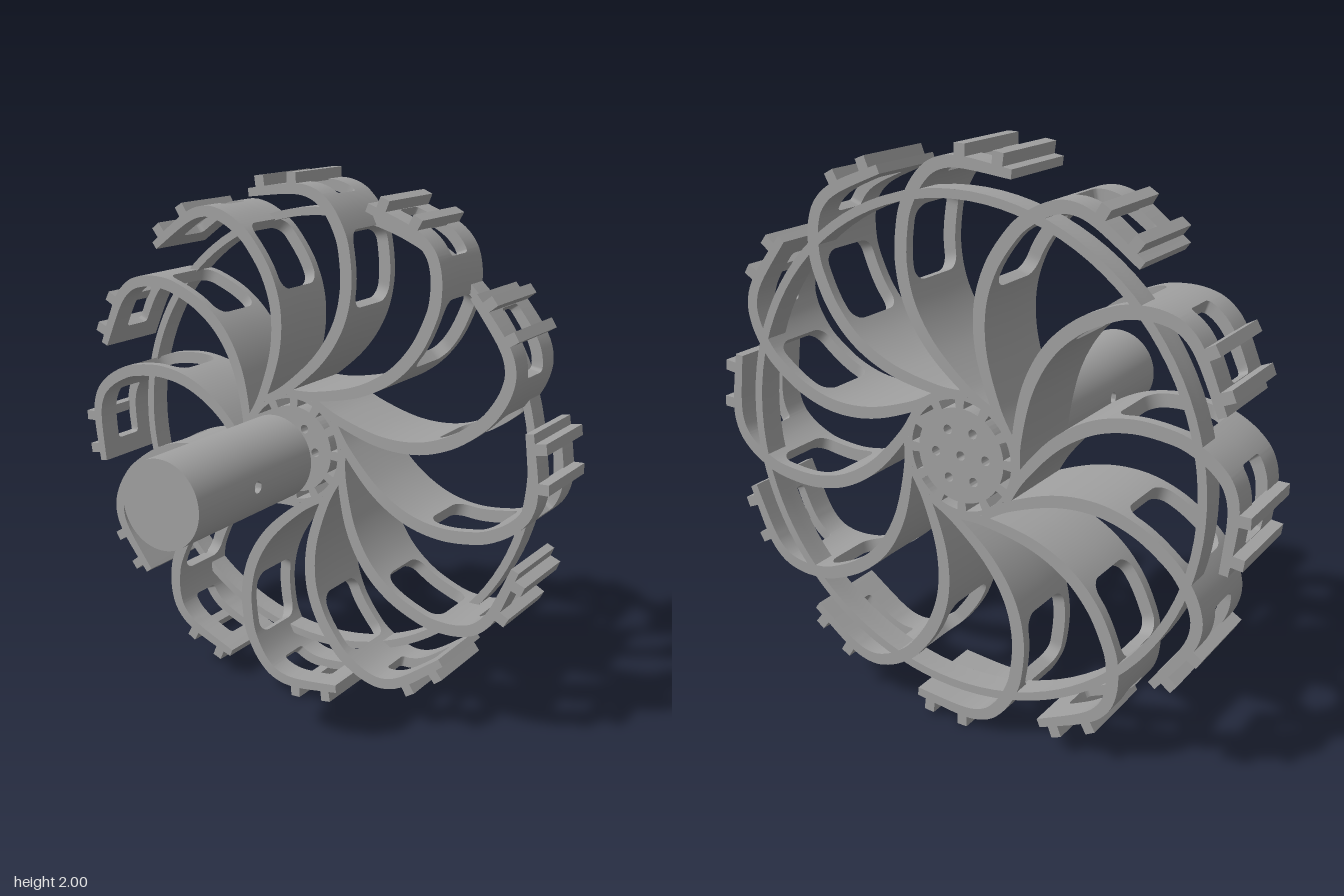
import * as THREE from 'three';
import { toCreasedNormals } from 'three/addons/utils/BufferGeometryUtils.js';

const grey = new THREE.MeshStandardMaterial({ color: 0xa0a0a0 });
grey.name = 'plain grey';

function add(parent, name, geometry) {
  const mesh = new THREE.Mesh(geometry, grey);
  mesh.name = name;
  parent.add(mesh);
  return mesh;
}

// Bends a flat strip along a curve in xy. Windows {a, b, w, r} are cut between
// positions a and b, with half-width w and corner radius r.
function strip(curve, half, thick, windows = [], steps = 64) {
  const length = curve.getLength();
  const stations = [];
  for (let i = 0; i <= steps; i++) {
    const u = i / steps;
    if (!windows.some(o => u >= o.a && u <= o.b)) stations.push([u, 0]);
  }
  for (const { a, b, w, r } of windows) {
    const ru = r / length, corner = [], n = 6;
    for (let i = 0; i <= n; i++) {
      const t = (i / n) * Math.PI / 2;
      corner.push([ru * (1 - Math.cos(t)), w - r + r * Math.sin(t)]);
    }
    stations.push([a, 0]);
    for (const [d, h] of corner) stations.push([a + d, h]);
    for (let i = 1; i < 12; i++) stations.push([a + ru + (b - a - 2 * ru) * i / 12, w]);
    for (const [d, h] of corner.reverse()) stations.push([b - d, h]);
    stations.push([b, 0]);
  }
  stations.sort((p, q) => p[0] - q[0]);

  const pos = [];
  for (const side of [1, -1]) {
    const loops = stations.map(([u, w]) => {
      const p = curve.getPointAt(u), t = curve.getTangentAt(u), h = thick(u) / 2;
      const at = (s, z) => [p.x - t.y * h * s, p.y + t.x * h * s, z * side];
      return [at(1, w), at(1, half), at(-1, half), at(-1, w)];
    });
    const quad = (a, b, c, d) => {
      const order = side > 0 ? [a, b, c, a, c, d] : [a, c, b, a, d, c];
      for (const v of order) pos.push(...v);
    };
    for (let k = 0; k < loops.length - 1; k++) {
      const p = loops[k], q = loops[k + 1];
      for (let i = 0; i < 4; i++) {
        const j = (i + 1) % 4;
        quad(p[i], p[j], q[j], q[i]);
      }
    }
    const s = loops[0], e = loops[loops.length - 1];
    quad(s[0], s[3], s[2], s[1]);
    quad(e[0], e[1], e[2], e[3]);
  }
  const g = new THREE.BufferGeometry();
  g.setAttribute('position', new THREE.Float32BufferAttribute(pos, 3));
  return toCreasedNormals(g, Math.PI / 6);
}

const circle = (r) => new THREE.EllipseCurve(0, 0, r, r, Math.PI / 2, Math.PI * 2.5);

export function createModel() {
  const model = new THREE.Group();
  model.name = 'motorWheel';
  const axle = new THREE.Group();
  axle.name = 'axleGroup';
  axle.position.y = 1;
  model.add(axle);

  const wheel = new THREE.Group();
  wheel.name = 'wheel';
  wheel.position.z = -0.395;
  axle.add(wheel);
  const half = 0.155;

  // Curved spring spokes, each with a large window and a slotted tread
  const path = new THREE.SplineCurve([
    [-0.13, 0.165], [-0.03, 0.225], [0.1, 0.345], [0.18, 0.475], [0.21, 0.61], [0.2, 0.74],
    [0.175, 0.815], [0.13, 0.885], [0.07, 0.93], [-0.02, 0.943], [-0.2, 0.92],
  ].map(p => new THREE.Vector2(...p)));
  const spokeGeo = strip(path, half, u => 0.03 + 0.016 * Math.sin(Math.PI * u), [
    { a: 0.42, b: 0.635, w: 0.12, r: 0.05 },
    { a: 0.745, b: 0.94, w: 0.062, r: 0.015 },
  ]);
  const lugGeo = new THREE.BoxGeometry(0.038, 0.042, half * 2);
  for (let i = 0; i < 12; i++) {
    const spoke = new THREE.Group();
    spoke.name = 'spoke';
    spoke.rotation.z = -i * Math.PI / 6;
    wheel.add(spoke);
    add(spoke, 'spokeBand', spokeGeo);
    // Tread bars across the tip
    for (const u of [0.85, 0.957]) {
      const p = path.getPointAt(u), t = path.getTangentAt(u);
      const lug = add(spoke, 'treadLug', lugGeo);
      lug.position.set(p.x + t.y * 0.035, p.y - t.x * 0.035, 0);
      lug.rotation.z = Math.atan2(t.y, t.x);
    }
  }

  // Support ring at the back edge
  add(wheel, 'supportRing', strip(circle(0.845), 0.045, () => 0.03, [], 96)).position.z = -0.11;

  // Hub with rim slots and bolt holes
  const disc = new THREE.Shape().absarc(0, 0, 0.205, 0, Math.PI * 2);
  for (let i = 0; i < 12; i++) {
    const a = (i + 0.5) * Math.PI / 6, d = 0.17;
    const slot = new THREE.Path();
    slot.absarc(0, 0, 0.19, a - d, a + d, false);
    slot.absarc(0, 0, 0.162, a + d, a - d, true);
    slot.closePath();
    disc.holes.push(slot);
  }
  for (let i = 0; i < 6; i++) {
    const a = i * Math.PI / 3;
    disc.holes.push(new THREE.Path().absarc(Math.cos(a) * 0.095, Math.sin(a) * 0.095, 0.016, 0, Math.PI * 2, true));
  }
  disc.holes.push(new THREE.Path().absarc(0, 0, 0.016, 0, Math.PI * 2, true));
  const hubGeo = new THREE.ExtrudeGeometry(disc, { depth: half * 2, bevelEnabled: false, curveSegments: 16 });
  add(wheel, 'hub', toCreasedNormals(hubGeo, Math.PI / 6)).position.z = -half;

  // Shaft
  const shaft = add(axle, 'shaft', new THREE.CylinderGeometry(0.024, 0.024, 0.16, 24));
  shaft.rotation.x = Math.PI / 2;
  shaft.position.z = -0.175;

  // Hollow motor casing with a cross hole, closed by end caps
  const hole = 0.02, hu = hole / (Math.PI * 2 * 0.145);
  const casing = add(axle, 'motorCasing', strip(circle(0.145), 0.333, () => 0.02, [0.25, 0.75].map(c => (
    { a: c - hu, b: c + hu, w: hole, r: hole }))));
  casing.position.z = 0.217;
  for (const z of [-0.111, 0.545]) {
    const cap = add(axle, 'motorCap', new THREE.CylinderGeometry(0.1545, 0.1545, 0.01, 64));
    cap.rotation.x = Math.PI / 2;
    cap.position.z = z;
  }
  return model;
}
